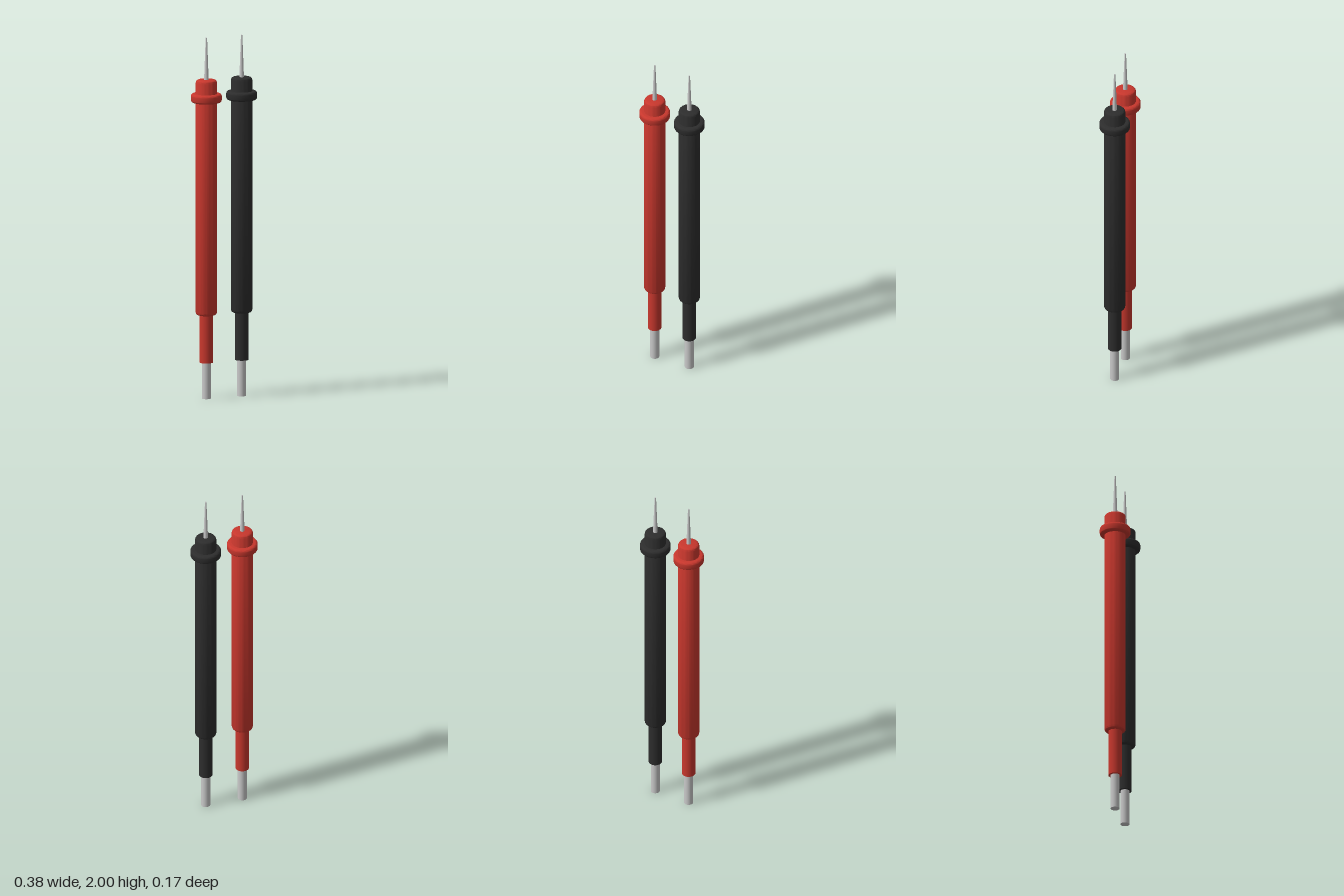
import * as THREE from 'three';
import { toCreasedNormals } from 'three/addons/utils/BufferGeometryUtils.js';

const material = (name, color) => {
  const m = new THREE.MeshStandardMaterial({ color });
  m.name = name;
  return m;
};

// Closed solid of revolution between y0 and y1 with rounded rims
function roundedRod(radius, y0, y1, round, segments = 48) {
  const points = [new THREE.Vector2(0, y0)];
  const steps = 6;
  for (const [cy, start] of [[y0 + round, -Math.PI / 2], [y1 - round, 0]]) {
    for (let i = 0; i <= steps; i++) {
      const a = start + (i / steps) * Math.PI / 2;
      points.push(new THREE.Vector2(radius - round + round * Math.cos(a), cy + round * Math.sin(a)));
    }
  }
  points.push(new THREE.Vector2(0, y1));
  return toCreasedNormals(new THREE.LatheGeometry(points, segments), 0.6);
}

// Straight or tapered rod between y0 and y1
function rod(bottomRadius, topRadius, y0, y1, segments = 32) {
  return new THREE.CylinderGeometry(topRadius, bottomRadius, y1 - y0, segments)
    .translate(0, (y0 + y1) / 2, 0);
}

export function createModel() {
  const model = new THREE.Group();
  model.name = 'testProbes';
  const metal = material('metal', 0xc8c8c8);

  function probe(name, x, plastic) {
    const group = new THREE.Group();
    group.name = name;
    group.position.x = x;
    const add = (part, geometry, mat) => {
      const mesh = new THREE.Mesh(geometry, mat);
      mesh.name = part;
      group.add(mesh);
    };
    add('plug', rod(0.025, 0.025, 0, 0.21), metal);
    add('sleeve', rod(0.037, 0.037, 0.2, 0.48), plastic);
    add('handle', roundedRod(0.058, 0.463, 1.767, 0.016), plastic);
    add('fingerGuard', roundedRod(0.084, 1.642, 1.69, 0.013), plastic);
    // Needle narrows to a fine blunt point
    add('needle', rod(0.013, 0.004, 1.76, 2, 24), metal);
    model.add(group);
  }

  probe('redProbe', -0.105, material('red', 0xc8372d));
  probe('blackProbe', 0.105, material('black', 0x2d2d2d));
  return model;
}
